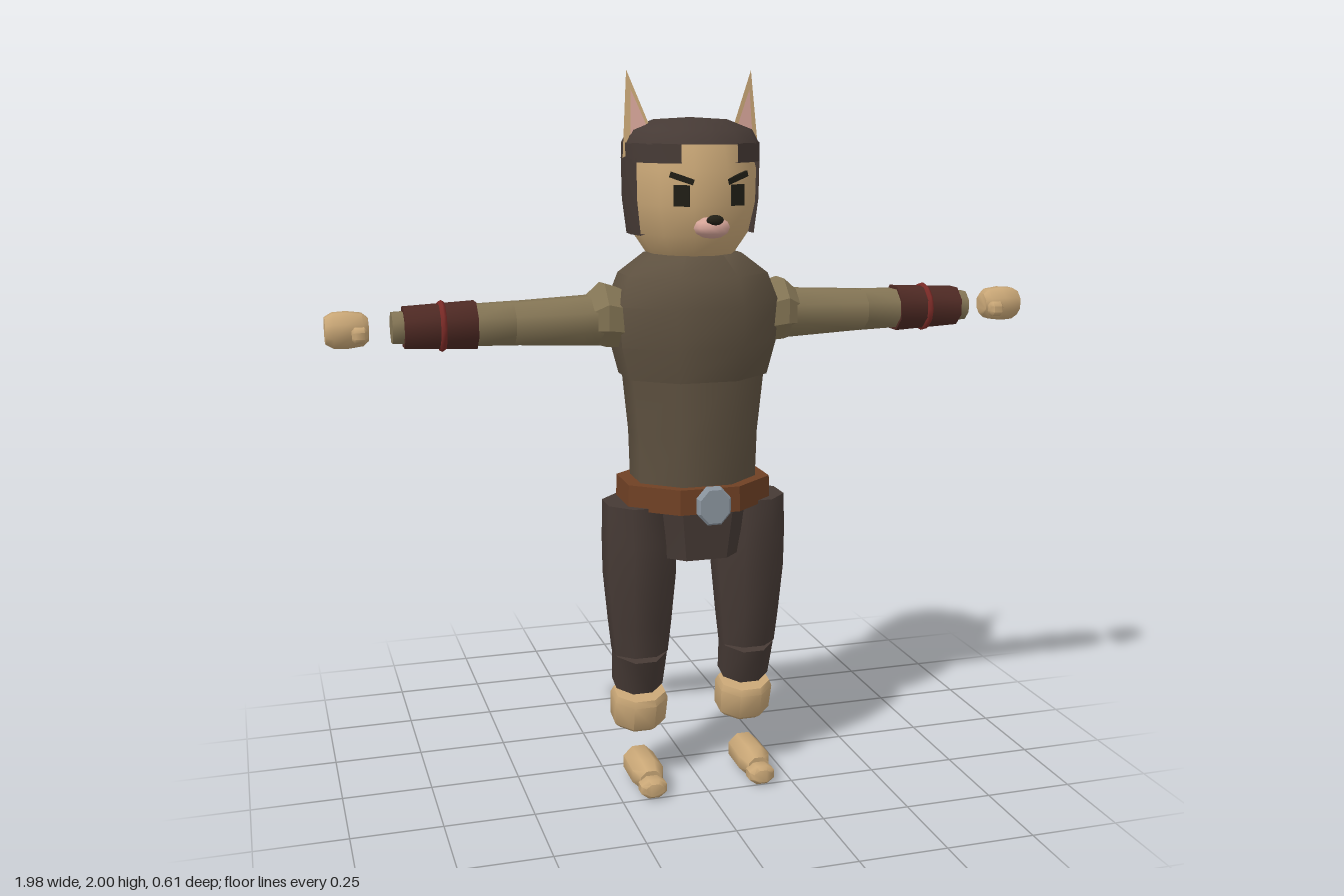
import * as THREE from 'three';
import { toCreasedNormals } from 'three/addons/utils/BufferGeometryUtils.js';

const paint = (name, color, side = THREE.FrontSide) => {
  const m = new THREE.MeshStandardMaterial({ color, side });
  m.name = name;
  return m;
};

// Capped loft along y. Each ring is [y, halfWidthX, halfDepthZ, centreX, centreZ].
function loft(rings, sides = 8, crease = 0.9) {
  const pos = [], idx = [], k = 1 / Math.cos(Math.PI / sides);
  for (const [y, rx, rz, cx = 0, cz = 0] of rings) {
    for (let j = 0; j < sides; j++) {
      const a = ((j + 0.5) / sides) * Math.PI * 2;
      pos.push(cx + rx * k * Math.sin(a), y, cz + rz * k * Math.cos(a));
    }
  }
  const last = (rings.length - 1) * sides;
  for (let j = 0; j < sides; j++) {
    const n = (j + 1) % sides;
    for (let i = 0; i < last; i += sides) {
      idx.push(i + j, i + n, i + sides + n, i + j, i + sides + n, i + sides + j);
    }
    if (j > 0 && n > 0) idx.push(0, n, j, last, last + j, last + n);
  }
  const g = new THREE.BufferGeometry();
  g.setAttribute('position', new THREE.Float32BufferAttribute(pos, 3));
  g.setIndex(idx);
  return toCreasedNormals(g, crease);
}

// Flat-shaded triangles from a few corner points
function facets(points, faces) {
  const g = new THREE.BufferGeometry();
  g.setAttribute('position', new THREE.Float32BufferAttribute(faces.flat().flatMap(i => points[i]), 3));
  g.computeVertexNormals();
  return g;
}

export function createModel() {
  const D = THREE.DoubleSide;
  const fur = paint('tan fur', 0xc8a676, D);
  const dark = paint('dark brown', 0x463a35, D);
  const shirt = paint('brown shirt', 0x5e5140);
  const sleeve = paint('olive sleeve', 0x847555);
  const bracerMat = paint('maroon leather', 0x4f2a24);
  const red = paint('red band', 0x7c2b27);
  const leather = paint('belt leather', 0x6f4024);
  const metal = paint('grey metal', 0x8b959f);
  const pink = paint('pink skin', 0xd5a498, D);
  const black = paint('black', 0x211f16);

  const model = new THREE.Group();
  const add = (parent, name, geo, mat, x = 0, y = 0, z = 0) => {
    const m = new THREE.Mesh(geo, mat);
    m.name = name;
    m.position.set(x, y, z);
    parent.add(m);
    return m;
  };

  // Torso, belt and hips
  add(model, 'waist', loft([[0.86, 0.165, 0.143], [1.02, 0.17, 0.145], [1.2, 0.188, 0.153]]), shirt, 0, 0, 0.085);
  add(model, 'chest', loft([[1.18, 0.195, 0.158], [1.27, 0.218, 0.17], [1.38, 0.226, 0.174],
    [1.46, 0.195, 0.158], [1.515, 0.125, 0.118]]), shirt, 0, 0, 0.085);
  add(model, 'belt', loft([[0.82, 0.205, 0.168], [0.89, 0.203, 0.166]], 8, 0.3), leather, 0, 0, 0.088);
  add(model, 'buckle', loft([[-0.015, 0.04, 0.046], [-0.008, 0.046, 0.052], [0.008, 0.046, 0.052],
    [0.015, 0.04, 0.046]], 8, 0.3).rotateX(Math.PI / 2), metal, 0, 0.85, 0.285);
  add(model, 'hips', loft([[0.68, 0.14, 0.138], [0.83, 0.175, 0.15]], 8, 0.3), dark, 0, 0, 0.085);

  // Bent tail with a diamond section
  const tail = [[0, 0.85, -0.08], [0.04, 0.81, -0.075], [0, 0.77, -0.07], [-0.04, 0.81, -0.075],
    [0, 0.76, -0.27], [0.056, 0.72, -0.235], [0, 0.68, -0.19], [-0.056, 0.72, -0.235], [0, 0.345, -0.305]];
  const tailFaces = [[0, 1, 2], [0, 2, 3]];
  for (let j = 0; j < 4; j++) {
    const n = (j + 1) % 4;
    tailFaces.push([j, j + 4, n + 4], [j, n + 4, n], [j + 4, 8, n + 4]);
  }
  add(model, 'tail', facets(tail, tailFaces), fur);

  // Head and hair
  const head = new THREE.Group();
  head.name = 'head';
  model.add(head);
  add(head, 'face', loft([[1.49, 0.1, 0.115], [1.52, 0.12, 0.145], [1.57, 0.152, 0.18], [1.65, 0.17, 0.193],
    [1.74, 0.172, 0.193], [1.83, 0.15, 0.165]], 12), fur, 0, 0, 0.06);
  const hair = (name, pts, start) => {
    const g = new THREE.LatheGeometry(pts.map(p => new THREE.Vector2(...p)), 14, start, 2 * (Math.PI - start));
    add(head, name, toCreasedNormals(g.scale(1, 1, 1.05), 0.9), dark, 0, 0, 0.06);
  };
  hair('hairCrown', [[0.165, 1.81], [0.187, 1.808], [0.168, 1.843], [0.1, 1.87], [0, 1.876]], 0);
  hair('hairFringe', [[0.16, 1.765], [0.188, 1.76], [0.187, 1.81]], 0.42);
  hair('hairBack', [[0.14, 1.575], [0.174, 1.567], [0.186, 1.66], [0.188, 1.77]], 1.15);
  add(head, 'hairLock', facets([[-0.04, 1.82, -0.1], [0.04, 1.82, -0.1], [0, 1.83, -0.13], [0, 1.675, -0.175],
    [0, 1.73, -0.12]], [[0, 2, 3], [2, 1, 3], [1, 4, 3], [4, 0, 3]]), dark);
  add(head, 'snout', new THREE.SphereGeometry(1, 10, 6).scale(0.05, 0.029, 0.04), pink, 0, 1.595, 0.26);
  add(head, 'nose', new THREE.SphereGeometry(1, 8, 6).scale(0.024, 0.014, 0.018), black, 0, 1.616, 0.287);

  for (const s of [1, -1]) {
    const half = new THREE.Group();
    half.name = s > 0 ? 'leftParts' : 'rightParts';
    half.scale.x = s;
    model.add(half);

    // Eye, brow and ear
    add(half, 'eye', new THREE.BoxGeometry(0.042, 0.055, 0.009), black, 0.076, 1.677, 0.239).rotation.y = 0.35;
    add(half, 'brow', new THREE.BoxGeometry(0.066, 0.015, 0.009), black, 0.076, 1.722, 0.24).rotation.set(0, 0.35, 0.32);
    const ear = [[0.105, 1.82, 0.085], [0.192, 1.77, 0.075], [0.155, 1.79, 0.03], [0.175, 2, 0.053]];
    add(half, 'ear', facets(ear, [[0, 1, 3], [1, 2, 3], [2, 0, 3]]), fur);
    add(half, 'innerEar', facets([[0.118, 1.83, 0.09], [0.172, 1.8, 0.085], [0.167, 1.95, 0.066]], [[0, 1, 2]]), pink);

    // Arm, lofted outward along x
    const arm = new THREE.Group();
    arm.name = 'arm';
    arm.position.set(0, 1.34, 0.085);
    arm.rotation.z = -Math.PI / 2;
    half.add(arm);
    add(arm, 'shoulder', loft([[0.18, 0.075, 0.075], [0.255, 0.084, 0.082, -0.014], [0.305, 0.056, 0.06]], 8, 0.5), sleeve);
    add(arm, 'upperArm', loft([[0.2, 0.07, 0.072], [0.32, 0.064, 0.069], [0.5, 0.056, 0.06]]), sleeve);
    add(arm, 'forearm', loft([[0.49, 0.057, 0.059], [0.62, 0.053, 0.055]]), sleeve);
    add(arm, 'bracer', loft([[0.6, 0.062, 0.062], [0.79, 0.053, 0.054]]), bracerMat);
    add(arm, 'bracerBand', new THREE.TorusGeometry(0.06, 0.009, 6, 12).rotateX(Math.PI / 2), red, 0, 0.69, 0);
    add(arm, 'wrist', loft([[0.77, 0.042, 0.042], [0.82, 0.04, 0.04]]), sleeve);
    add(arm, 'hand', loft([[0.88, 0.03, 0.03], [0.895, 0.042, 0.04], [0.935, 0.047, 0.044], [0.97, 0.045, 0.041],
      [0.99, 0.034, 0.031]]), fur);
    add(arm, 'thumb', loft([[-0.02, 0.012, 0.01], [-0.012, 0.021, 0.02], [0.012, 0.021, 0.02], [0.02, 0.012, 0.01]]),
      fur, 0.01, 0.905, 0.04);

    // Leg and foot
    add(half, 'thigh', loft([[0.39, 0.075, 0.07], [0.48, 0.084, 0.083], [0.62, 0.096, 0.098], [0.72, 0.097, 0.102],
      [0.83, 0.095, 0.098]]), dark, 0.16, 0, 0.098);
    add(half, 'shin', loft([[-0.055, 0.068, 0.066], [0.055, 0.073, 0.074]]), dark, 0.16, 0.34, 0.082).rotation.x = 0.25;
    add(half, 'ankle', loft([[-0.055, 0.058, 0.054], [-0.038, 0.074, 0.072], [0.035, 0.077, 0.075],
      [0.052, 0.07, 0.066]]), fur, 0.158, 0.215, 0.075).rotation.x = 0.2;
    add(half, 'foot', loft([[-0.085, 0.03, 0.028], [-0.06, 0.044, 0.043], [0.045, 0.045, 0.043], [0.085, 0.03, 0.026]])
      .rotateX(Math.PI / 2), fur, 0.16, 0.045, 0.135);
    add(half, 'toe', loft([[-0.03, 0.026, 0.02], [-0.015, 0.037, 0.027], [0.018, 0.037, 0.027], [0.03, 0.026, 0.018]])
      .rotateX(Math.PI / 2), fur, 0.16, 0.031, 0.232);
  }
  return model;
}
